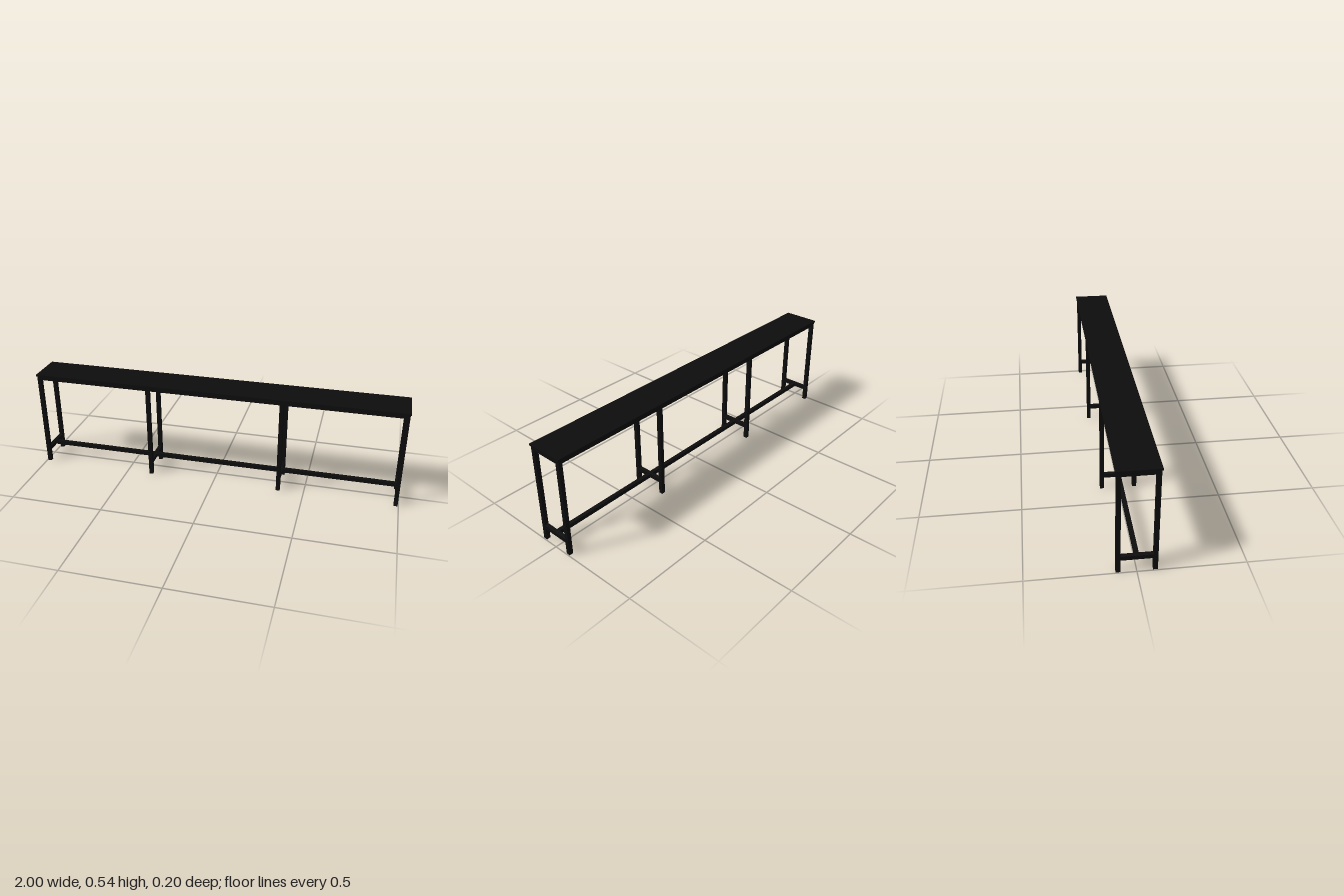
import * as THREE from 'three';

export function createModel() {
  const group = new THREE.Group();
  const material = new THREE.MeshStandardMaterial({ color: 0x0d0d0d });

  const BAR = 0.021;       // square tube section
  const FRAME_TOP = 0.532; // underside of the table top
  const LEG_Z = 0.084;
  const RAIL_Y = 0.0765;   // height of the lower rails
  const APRON_Y = FRAME_TOP - BAR / 2;
  const frameX = [-0.985, -0.361, 0.361, 0.985];

  function box(name, w, h, d, x, y, z) {
    const mesh = new THREE.Mesh(new THREE.BoxGeometry(w, h, d), material);
    mesh.name = name;
    mesh.position.set(x, y, z);
    group.add(mesh);
  }

  // Thin overhanging top
  box('tableTop', 2, 0.009, 0.198, 0, FRAME_TOP + 0.0045, 0);

  // Four leg frames, each with an upper and a lower cross rail
  const crossLength = 2 * LEG_Z - BAR;
  frameX.forEach((x) => {
    for (const z of [-LEG_Z, LEG_Z]) box('leg', BAR, FRAME_TOP, BAR, x, FRAME_TOP / 2, z);
    box('upperCrossRail', BAR, BAR, crossLength, x, APRON_Y, 0);
    box('lowerCrossRail', BAR, BAR, crossLength, x, RAIL_Y, 0);
  });

  // Long aprons under both edges and a central stretcher, bay by bay
  for (let i = 0; i < frameX.length - 1; i++) {
    const length = frameX[i + 1] - frameX[i] - BAR;
    const x = (frameX[i] + frameX[i + 1]) / 2;
    for (const z of [-LEG_Z, LEG_Z]) box('apron', length, BAR, BAR, x, APRON_Y, z);
    box('stretcher', length, BAR, BAR, x, RAIL_Y, 0);
  }

  return group;
}
